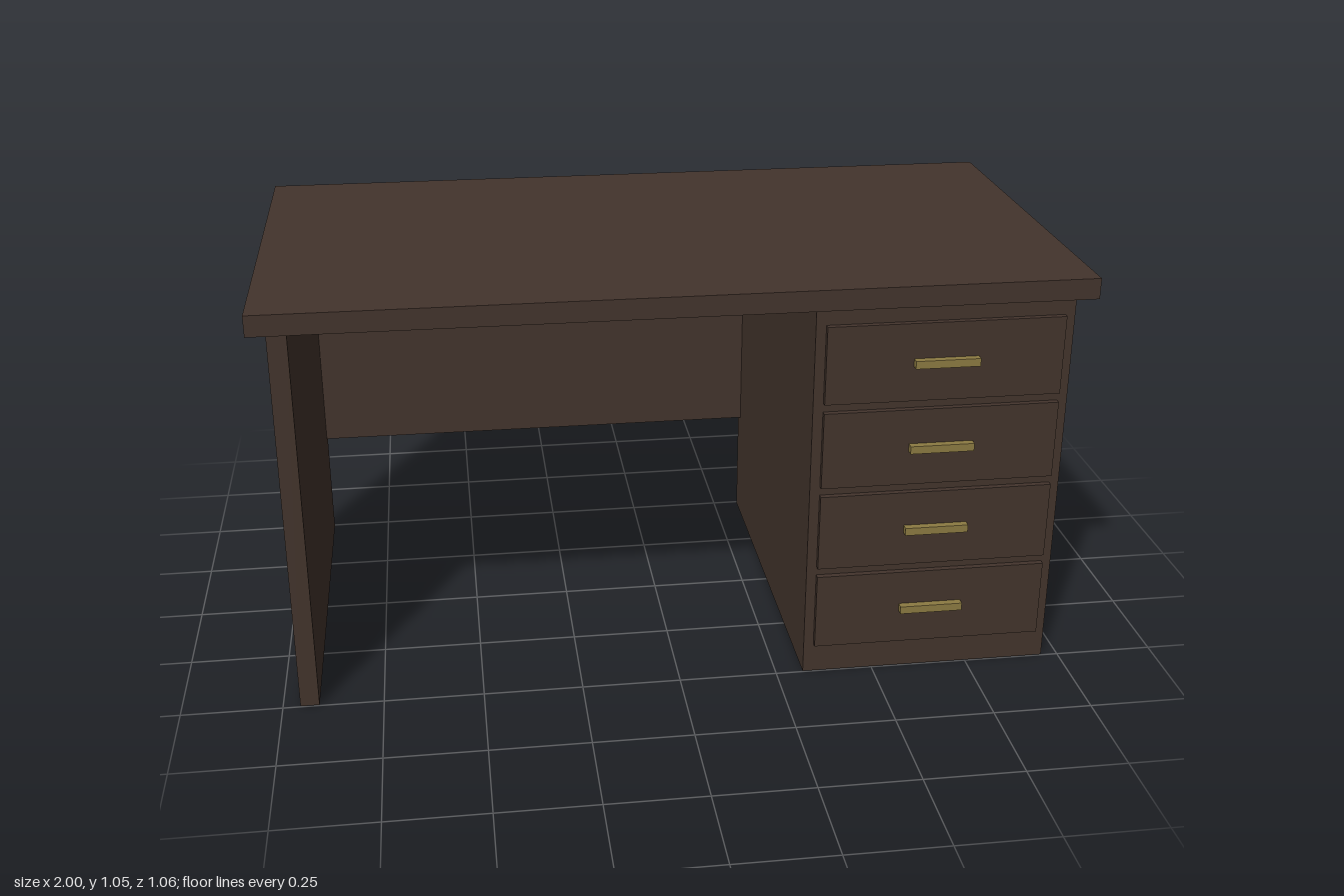
import * as THREE from 'three';

const wood = new THREE.MeshStandardMaterial({ color: 0x43342c, side: THREE.DoubleSide });
wood.name = 'darkWood';
const brass = new THREE.MeshStandardMaterial({ color: 0x8c7a42 });
brass.name = 'agedBrass';

// Box given by its min and max corners; openBottom leaves out the -y face
function box(name, material, [x0, y0, z0], [x1, y1, z1], openBottom = false) {
  const geometry = new THREE.BoxGeometry(x1 - x0, y1 - y0, z1 - z0);
  if (openBottom) {
    const index = Array.from(geometry.index.array);
    index.splice(18, 6);
    geometry.setIndex(index);
    geometry.clearGroups();
  }
  const mesh = new THREE.Mesh(geometry, material);
  mesh.name = name;
  mesh.position.set((x0 + x1) / 2, (y0 + y1) / 2, (z0 + z1) / 2);
  return mesh;
}

export function createModel() {
  const desk = new THREE.Group();
  desk.name = 'desk';

  const back = -0.495, front = 0.497, under = 0.998;

  // Top, hollow side panel and drawer cabinet, and the back panel between them
  desk.add(
    box('deskTop', wood, [-1, under, -0.532], [1, 1.05, 0.532]),
    box('sidePanel', wood, [-0.957, 0, back], [-0.91, under, front], true),
    box('drawerCabinet', wood, [0.32, 0, back], [0.957, under, front], true),
    box('modestyPanel', wood, [-0.91, 0.303, back], [0.32, under, back + 0.035])
  );

  // Four drawer fronts with bar handles
  for (let i = 0; i < 4; i++) {
    const y = 0.18 + i * 0.2233;
    const drawer = new THREE.Group();
    drawer.name = `drawer${i + 1}`;
    drawer.add(
      box('drawerFront', wood, [0.345, y - 0.1, front], [0.932, y + 0.1, 0.512]),
      box('drawerHandle', brass, [0.56, y - 0.01, 0.512], [0.72, y + 0.01, 0.531])
    );
    desk.add(drawer);
  }
  return desk;
}
